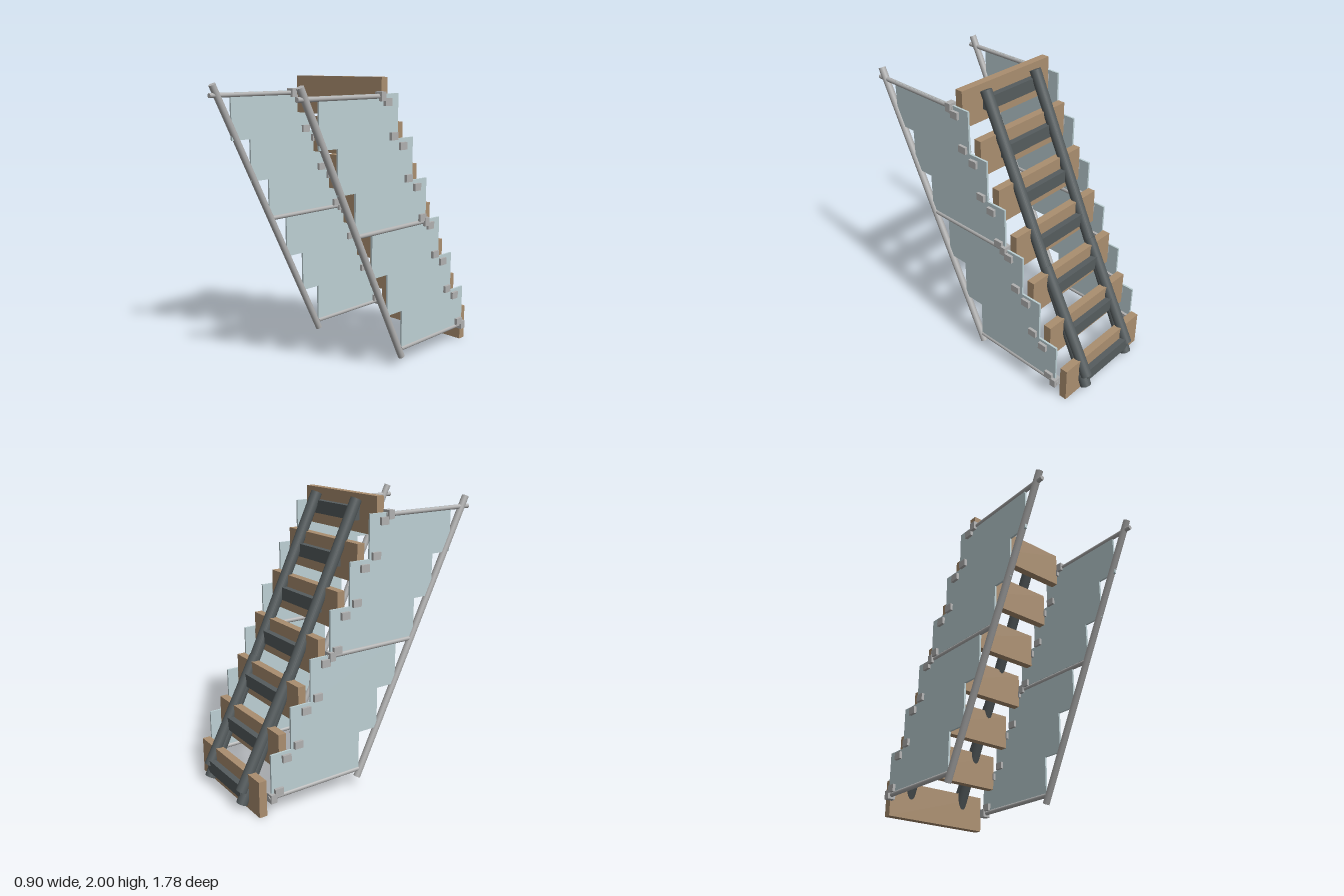
import * as THREE from 'three';

const mat = (color) => new THREE.MeshStandardMaterial({ color });

export function createModel() {
  const group = new THREE.Group();
  const wood = mat(0xaa8e6f), dark = mat(0x555c5e), metal = mat(0xb0b0b0);
  const glass = mat(0xbccfd3);

  const add = (name, geo, material, x = 0, y = 0, z = 0) => {
    const m = new THREE.Mesh(geo, material);
    m.name = name;
    m.position.set(x, y, z);
    group.add(m);
    return m;
  };
  const box = (name, material, w, h, d, x, y, z) =>
    add(name, new THREE.BoxGeometry(w, h, d), material, x, y, z);
  // Round bar between two [y, z] points in the plane at x
  const bar = (name, material, r, x, [y0, z0], [y1, z1]) => {
    const a = new THREE.Vector3(x, y0, z0), b = new THREE.Vector3(x, y1, z1);
    const dir = b.clone().sub(a);
    const m = add(name, new THREE.CylinderGeometry(r, r, dir.length(), 24), material);
    m.position.copy(a).add(b).multiplyScalar(0.5);
    m.quaternion.setFromUnitVectors(new THREE.Vector3(0, 1, 0), dir.normalize());
  };

  const DY = 0.29, DZ = 0.153; // rise and run of one step

  // Boards with a dark cross bar behind each
  for (let i = 0; i < 7; i++) {
    const y = 0.1275 + DY * i, z = -0.789 + DZ * i;
    box('tread', wood, 0.8, 0.255, 0.056, 0, y, z);
    box('crossBar', dark, 0.46, 0.09, 0.043, 0, y, z - 0.056);
  }

  // Stepped glass panel three steps tall; (z, y) is its lowest front corner
  const panel = (x, y, z) => {
    const width = 0.7, pts = [];
    for (let i = 0; i < 3; i++) {
      const f = z + DZ * i;
      pts.push([f, i ? y + DY * i - 0.025 : y], [f, y + DY * (i + 1) - (i < 2 ? 0.025 : 0)]);
    }
    for (let i = 2; i >= 0; i--) {
      const b = z + DZ * i - width;
      pts.push([b, y + DY * (i + 1)], [b, y + DY * i]);
    }
    // Shape is drawn in (-z, y) and turned to stand along z
    const shape = new THREE.Shape(pts.map(([pz, py]) => new THREE.Vector2(-pz, py)));
    const geo = new THREE.ExtrudeGeometry(shape, { depth: 0.014, bevelEnabled: false });
    geo.translate(0, 0, -0.007).rotateY(Math.PI / 2);
    add('glassPanel', geo, glass, x);
  };

  for (const s of [-1, 1]) {
    // Main stringer and the shorter lower one crossing it
    const xs = 0.228 * s;
    bar('stringer', dark, 0.039, xs, [1.963, 0.066], [0.037, -0.853]);
    bar('lowerStringer', dark, 0.039, xs, [0.865, -0.463], [0.127, -0.853]);

    // Handrail, horizontal rails and their end clamps
    const x = 0.42 * s;
    bar('handrail', metal, 0.024, x, [1.947, 0.865], [0.073, -0.048]);
    const rails = [[1.877, 0.89, 0.16], [1.005, 0.41, -0.3], [0.133, -0.04, -0.76]];
    for (const [y, z0, z1] of rails) {
      bar('horizontalRail', metal, 0.016, x, [y, z0], [y, z1]);
      box('railClamp', metal, 0.058, 0.06, 0.045, x, y, z1 + 0.027);
    }

    panel(x, 1.022, 0.42);
    panel(x, 0.145, -0.04);

    // Pairs of glass clamps at every step
    for (let k = 0; k < 6; k++) {
      box('glassClamp', metal, 0.054, 0.05, 0.063, x, 1.62 - DY * k, 0.075 - DZ * k);
      box('glassClamp', metal, 0.054, 0.05, 0.063, x, 1.84 - DY * k, 0.137 - DZ * k);
    }
  }
  return group;
}
